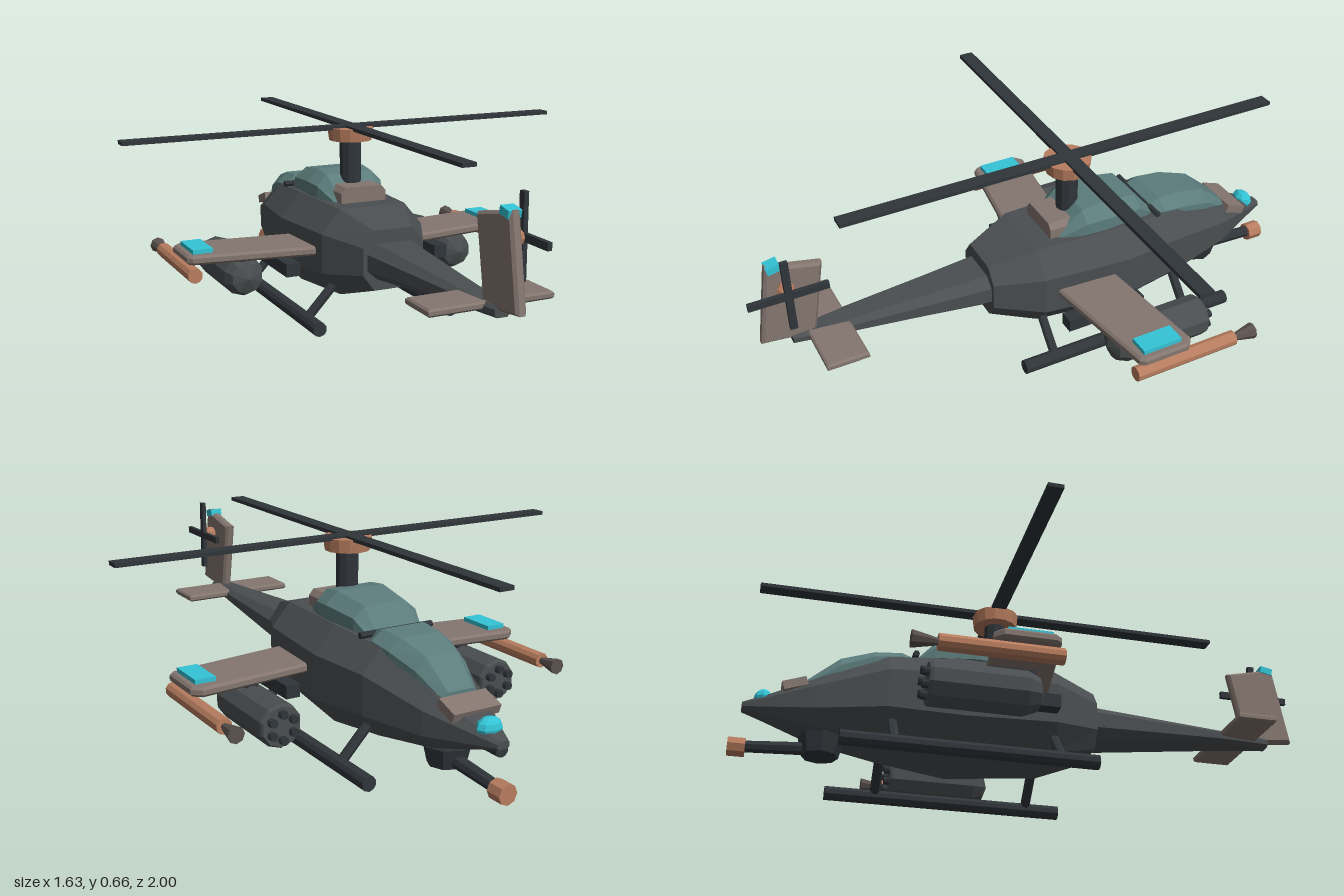
import * as THREE from 'three';

const mat = (color) => new THREE.MeshStandardMaterial({ color, flatShading: true });
const hull = mat(0x4a4e50), dark = mat(0x30353a), brown = mat(0x84766f);
const copper = mat(0xb87d5f), glass = mat(0x5c7c7c), cyan = mat(0x33c4d6), nozzleMat = mat(0x5a514d);

// Octagonal loft; sections run from +z to -z as [z, halfWidth, bottom, top, flat]
function loft(sections, low = 0.27, high = 0.73) {
  const rings = sections.map(([z, w, b, t, flat = 0.64]) => {
    const f = w * flat, y1 = b + (t - b) * low, y2 = b + (t - b) * high;
    return [[-f, b], [f, b], [w, y1], [w, y2], [f, t], [-f, t], [-w, y2], [-w, y1]].map(([x, y]) => [x, y, z]);
  });
  const pos = [];
  const tri = (...pts) => pts.forEach((p) => pos.push(...p));
  for (let k = 0; k < rings.length - 1; k++) {
    for (let j = 0; j < 8; j++) {
      const n = (j + 1) % 8, r = rings[k], s = rings[k + 1];
      tri(r[j], s[j], s[n]);
      tri(r[j], s[n], r[n]);
    }
  }
  const first = rings[0], last = rings[rings.length - 1];
  for (let j = 1; j < 7; j++) {
    tri(first[0], first[j], first[j + 1]);
    tri(last[0], last[j + 1], last[j]);
  }
  const g = new THREE.BufferGeometry();
  g.setAttribute('position', new THREE.Float32BufferAttribute(pos, 3));
  g.computeVertexNormals();
  return g;
}

// Flat plate from an outline, bevelled, centred on its thickness
function plate(points, thickness) {
  const bevel = thickness * 0.25;
  const g = new THREE.ExtrudeGeometry(new THREE.Shape(points.map((p) => new THREE.Vector2(...p))), {
    depth: thickness - 2 * bevel, bevelThickness: bevel, bevelSize: bevel, bevelOffset: -bevel, bevelSegments: 1,
  });
  return g.translate(0, 0, bevel - thickness / 2);
}

export function createModel() {
  const model = new THREE.Group();
  const add = (name, geometry, material, x = 0, y = 0, z = 0) => {
    const m = new THREE.Mesh(geometry, material);
    m.name = name;
    m.position.set(x, y, z);
    model.add(m);
    return m;
  };
  const box = (name, w, h, d, material, x, y, z) => add(name, new THREE.BoxGeometry(w, h, d), material, x, y, z);
  // Cylinder between two points: r0 at the start, r1 at the end
  const rod = (name, from, to, r0, r1, material, sides = 10) => {
    const a = new THREE.Vector3(...from), b = new THREE.Vector3(...to), dir = b.clone().sub(a);
    const m = add(name, new THREE.CylinderGeometry(r1, r0, dir.length(), sides), material);
    m.position.copy(a).lerp(b, 0.5);
    m.quaternion.setFromUnitVectors(new THREE.Vector3(0, 1, 0), dir.normalize());
    return m;
  };

  // Body, from the blunt rear to the nose at -z
  add('fuselage', loft([
    [0.2, 0.112, 0.15, 0.355], [0.04, 0.19, 0.1, 0.4], [-0.28, 0.21, 0.072, 0.4],
    [-0.52, 0.182, 0.1, 0.385], [-0.74, 0.118, 0.128, 0.3], [-0.9, 0.05, 0.172, 0.238], [-0.97, 0.022, 0.19, 0.215],
  ]), hull);
  add('tailBoom', loft([
    [0.87, 0.026, 0.248, 0.282], [0.68, 0.052, 0.236, 0.288], [0.19, 0.098, 0.188, 0.31],
  ]), hull);

  // Cockpit
  add('rearCanopy', loft([
    [-0.055, 0.09, 0.37, 0.405, 0.8], [-0.15, 0.125, 0.37, 0.484, 0.7],
    [-0.22, 0.133, 0.37, 0.492, 0.66], [-0.365, 0.118, 0.37, 0.473, 0.64], [-0.425, 0.1, 0.37, 0.405, 0.75],
  ], 0.3, 0.66), glass);
  add('frontCanopy', loft([
    [-0.425, 0.1, 0.33, 0.41, 0.75], [-0.47, 0.118, 0.33, 0.425, 0.66],
    [-0.56, 0.115, 0.31, 0.42, 0.62], [-0.67, 0.092, 0.27, 0.388, 0.62], [-0.77, 0.062, 0.24, 0.305, 0.75],
  ], 0.3, 0.66), glass);
  rod('canopyFrame', [-0.135, 0.402, -0.43], [0.135, 0.402, -0.43], 0.011, 0.011, dark, 6);
  add('engineCover', loft([[-0.03, 0.085, 0.38, 0.455, 0.8], [-0.15, 0.085, 0.38, 0.455, 0.8]]), brown);

  // Nose details
  box('nosePanel', 0.17, 0.03, 0.08, brown, 0, 0.27, -0.81).rotation.x = -0.35;
  const sensor = add('noseSensor', new THREE.SphereGeometry(0.045, 8, 6), cyan, 0, 0.235, -0.905);
  sensor.scale.set(1, 0.75, 0.7);

  // Chin gun
  rod('gunTurret', [0, 0.12, -0.71], [0, 0.055, -0.71], 0.075, 0.06, dark, 8);
  rod('gunBarrel', [0, 0.08, -0.74], [0, 0.066, -0.96], 0.023, 0.02, dark, 8);
  rod('gunMuzzle', [0, 0.063, -0.945], [0, 0.063, -1], 0.033, 0.033, copper, 8);

  // Main rotor
  rod('rotorMast', [0, 0.38, -0.137], [0, 0.61, -0.137], 0.038, 0.038, dark);
  rod('rotorHub', [0, 0.605, -0.137], [0, 0.65, -0.137], 0.076, 0.082, copper, 14);
  box('rotorBladeAcross', 1.63, 0.013, 0.05, dark, 0, 0.651, -0.14);
  box('rotorBladeAlong', 0.05, 0.013, 1.63, dark, 0, 0.651, -0.14);

  // Tail: fin, stabilizer and side rotor
  const fin = add('tailFin', plate([[0.92, 0.57], [0.97, 0.28], [0.79, 0.26], [0.74, 0.53]].map(([z, y]) => [-z, y]), 0.036), brown);
  fin.rotation.y = Math.PI / 2;
  box('finLight', 0.044, 0.025, 0.045, cyan, 0, 0.56, 0.895).rotation.x = 0.2;
  add('stabilizer', plate([[-0.21, -0.07], [0.21, -0.07], [0.21, 0.07], [-0.21, 0.07]], 0.024), brown, 0, 0.272, 0.75).rotation.x = -Math.PI / 2;
  add('tailRotorHub', new THREE.SphereGeometry(0.03, 8, 6), copper, 0.032, 0.478, 0.87);
  box('tailRotorBladeUpright', 0.015, 0.26, 0.024, dark, 0.06, 0.478, 0.87);
  box('tailRotorBladeLevel', 0.015, 0.024, 0.26, dark, 0.06, 0.478, 0.87);

  // Wings, weapons and landing gear, mirrored
  for (const s of [-1, 1]) {
    const outline = [[0.15, 0.22], [0.15, 0], [0.61, 0.068], [0.625, 0.085], [0.625, 0.245], [0.595, 0.272]];
    const wing = add('wing', plate(outline.map(([x, y]) => [s * x, y]), 0.032), brown, 0, 0.25, 0);
    wing.rotation.x = -Math.PI / 2;
    box('wingLight', 0.07, 0.02, 0.14, cyan, s * 0.567, 0.271, -0.16);
    box('wingPylon', 0.05, 0.045, 0.29, dark, s * 0.285, 0.2, -0.13);

    // Wing tip missile with a flared end
    rod('missile', [s * 0.605, 0.2, -0.06], [s * 0.605, 0.2, -0.437], 0.026, 0.026, copper);
    rod('missileFlare', [s * 0.605, 0.2, -0.43], [s * 0.605, 0.2, -0.515], 0.01, 0.028, nozzleMat, 8);

    // Rocket pod with a domed rear and a ring of tubes
    const profile = [[0, -0.435], [0.066, -0.435], [0.072, -0.425], [0.072, -0.13], [0.055, -0.09], [0, -0.07]];
    const pod = new THREE.LatheGeometry(profile.map((p) => new THREE.Vector2(...p)), 10);
    add('rocketPod', pod, hull, s * 0.413, 0.16, 0).rotation.x = Math.PI / 2;
    box('podPylon', 0.04, 0.03, 0.14, dark, s * 0.413, 0.232, -0.17);
    for (let i = 0; i < 6; i++) {
      const a = (i + 0.5) * Math.PI / 3, x = s * 0.413 + 0.042 * Math.cos(a), y = 0.16 + 0.042 * Math.sin(a);
      rod('rocketTube', [x, y, -0.42], [x, y, -0.455], 0.014, 0.014, dark, 8);
    }

    // Skid and its struts
    rod('skid', [s * 0.25, 0.026, 0.155], [s * 0.25, 0.026, -0.67], 0.025, 0.025, dark);
    for (const z of [0.035, -0.5]) {
      rod('skidStrut', [s * 0.12, 0.165, z], [s * 0.25, 0.026, z], 0.017, 0.017, dark, 8);
    }
  }
  return model;
}
